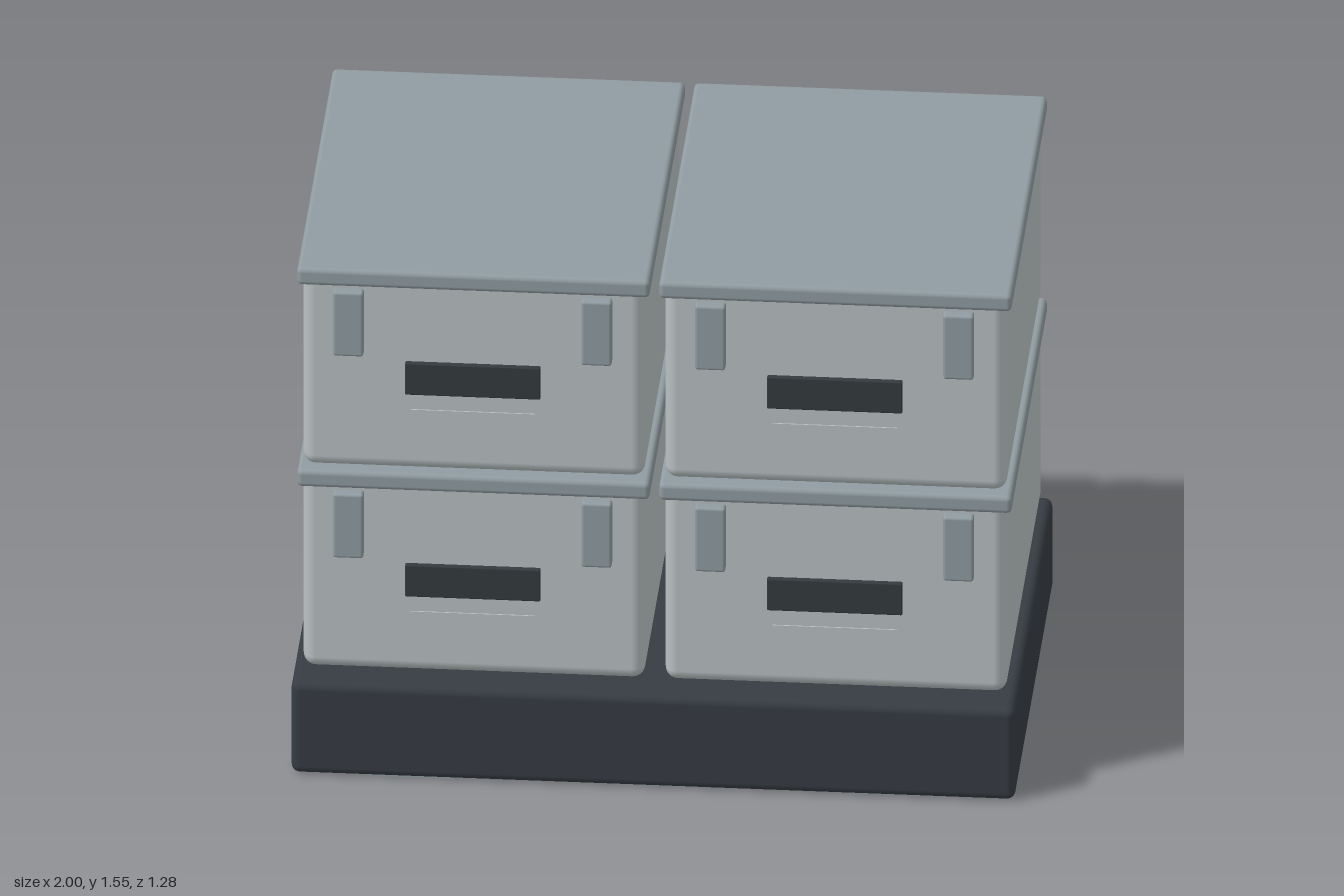
import * as THREE from 'three';
import { RoundedBoxGeometry } from 'three/addons/geometries/RoundedBoxGeometry.js';

const material = (name, color) => {
  const m = new THREE.MeshStandardMaterial({ color });
  m.name = name;
  return m;
};

export function createModel() {
  const bodyGrey = material('bodyGrey', 0xb8c0c2);
  const lidGrey = material('lidGrey', 0x909ca2);
  const baseDark = material('baseDark', 0x363c43);
  const handleDark = material('handleDark', 0x343a3e);

  // Rounded block given by its extents: [min, max] on each axis
  const block = (name, mat, [x0, x1], [y0, y1], [z0, z1], radius = 0) => {
    const size = [x1 - x0, y1 - y0, z1 - z0];
    const geo = radius
      ? new RoundedBoxGeometry(...size, 3, radius)
      : new THREE.BoxGeometry(...size);
    const mesh = new THREE.Mesh(geo, mat);
    mesh.name = name;
    mesh.position.set((x0 + x1) / 2, (y0 + y1) / 2, (z0 + z1) / 2);
    return mesh;
  };

  // One storage box with lid, latches, handle and label; y = 0 is its underside
  const storageBox = () => {
    const box = new THREE.Group();
    box.name = 'storageBox';
    box.add(
      block('body', bodyGrey, [-0.472, 0.472], [0, 0.615], [-0.586, 0.586], 0.035),
      block('lid', lidGrey, [-0.487, 0.487], [0.568, 0.621], [-0.599, 0.599], 0.014),
      block('handle', handleDark, [-0.187, 0.187], [0.251, 0.349], [0.6, 0.618], 0.004),
      block('label', bodyGrey, [-0.172, 0.172], [0.11, 0.202], [0.606, 0.61])
    );
    for (const side of [-1, 1]) {
      const x = side * 0.343;
      box.add(block('latch', lidGrey, [x - 0.042, x + 0.042], [0.371, 0.57], [0.598, 0.634], 0.008));
    }
    return box;
  };

  const model = new THREE.Group();
  model.name = 'stackedStorageBoxes';

  // Base plinth with skids let into its underside
  model.add(block('base', baseDark, [-1, 1], [0.002, 0.286], [-0.641, 0.641], 0.024));
  for (const x of [-0.667, 0, 0.667]) {
    const bottom = x < 0 ? 0 : 0.003;
    model.add(block('skid', lidGrey, [x - 0.12, x + 0.12], [bottom, 0.02], [-0.628, 0.628]));
  }

  // Two columns, two tiers
  for (const x of [-0.5, 0.5]) {
    for (const y of [0.304, 0.931]) {
      const box = storageBox();
      box.position.set(x, y, 0);
      model.add(box);
    }
  }
  return model;
}
